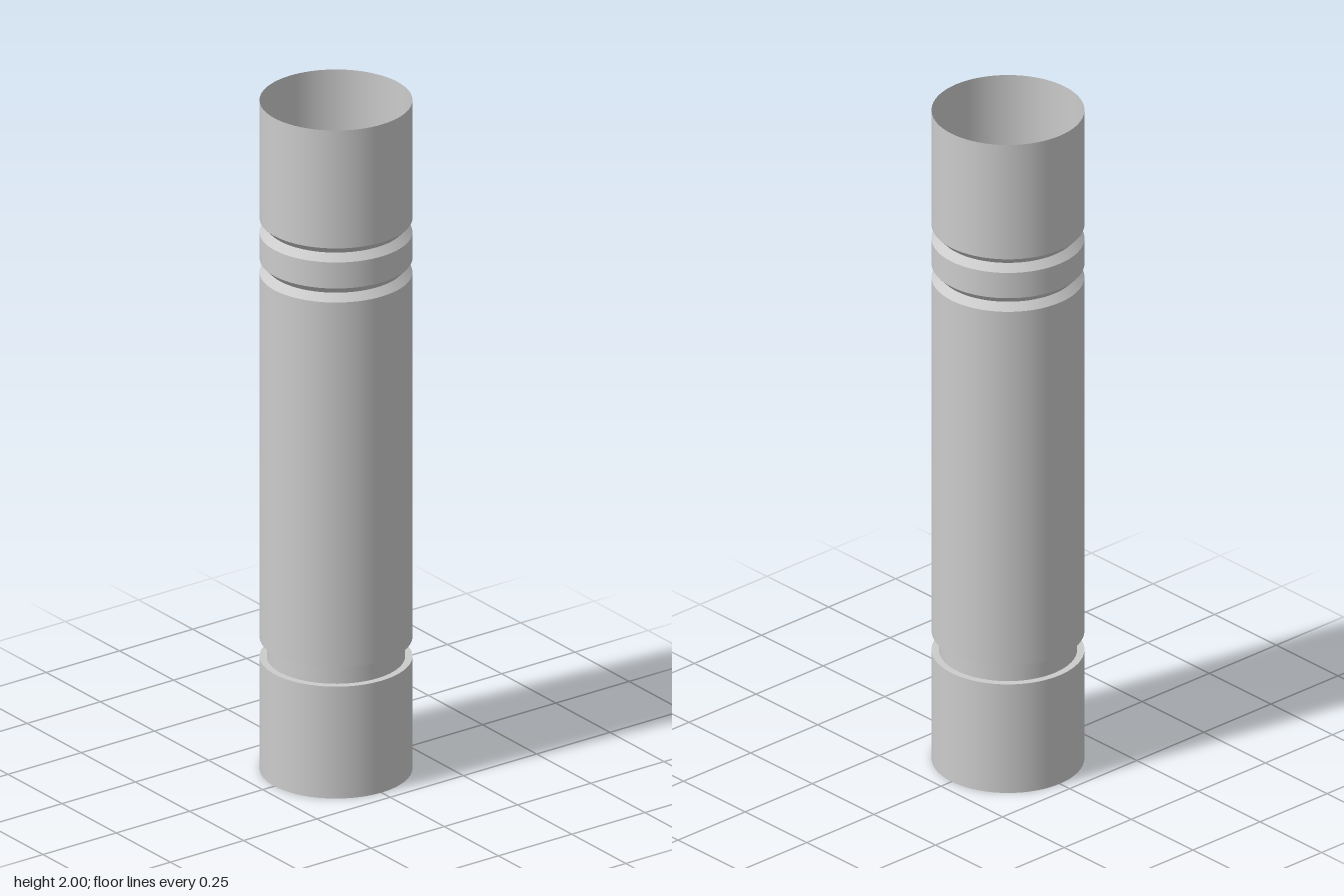
import * as THREE from 'three';

const R = 0.21;       // sleeve radius
const GROOVE = 0.19;  // radius at the bottom of every groove
const SEGMENTS = 72;

export function createModel() {
  const group = new THREE.Group();
  group.name = 'groovedTube';
  const material = new THREE.MeshStandardMaterial({ color: 0xcccccc, side: THREE.DoubleSide });

  // One band of the open, thin-walled tube; separate bands keep the edges sharp
  const band = (name, r0, y0, r1, y1) => {
    const points = [new THREE.Vector2(r0, y0), new THREE.Vector2(r1, y1)];
    const mesh = new THREE.Mesh(new THREE.LatheGeometry(points, SEGMENTS), material);
    mesh.name = name;
    group.add(mesh);
  };

  // V-shaped groove centred on height y
  const vGroove = (name, y, half) => {
    band(name + 'Lower', R, y - half, GROOVE, y);
    band(name + 'Upper', GROOVE, y, R, y + half);
  };

  // Bottom sleeve and square-stepped groove
  band('bottomSleeve', R, 0, R, 0.335);
  band('squareGrooveLedge', R, 0.335, GROOVE, 0.335);
  band('squareGrooveWall', GROOVE, 0.335, GROOVE, 0.393);
  band('squareGrooveRoof', GROOVE, 0.393, R, 0.393);

  // Long body, ring between the two V grooves, top sleeve
  band('body', R, 0.393, R, 1.485);
  vGroove('lowerVGroove', 1.506, 0.021);
  band('ring', R, 1.527, R, 1.605);
  vGroove('upperVGroove', 1.626, 0.021);
  band('topSleeve', R, 1.647, R, 2);

  return group;
}
